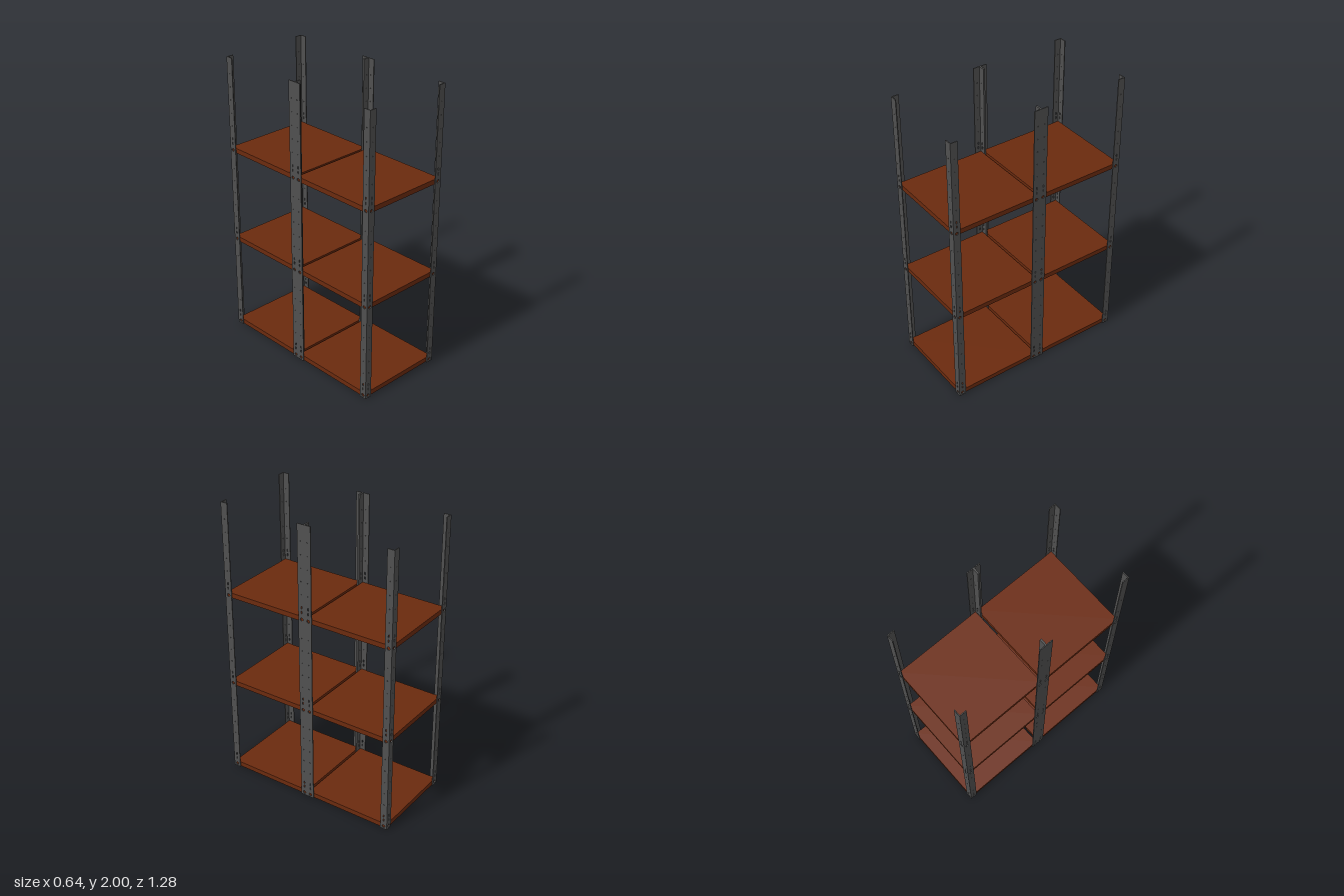
import * as THREE from 'three';

const HEIGHT = 2, FLANGE = 0.05, THICK = 0.006;
const HALF_W = 0.321, HALF_D = 0.642;
const SHELF_Y = [0.02, 0.688, 1.356];

const steel = new THREE.MeshStandardMaterial({ color: 0x505050 });
const board = new THREE.MeshStandardMaterial({ color: 0x6b2a0e });

function roundHole(y, r, sides) {
  const path = new THREE.Path();
  for (let i = 0; i <= sides; i++) {
    const a = -i / sides * Math.PI * 2;
    const x = r * Math.cos(a), v = y + r * Math.sin(a);
    i ? path.lineTo(x, v) : path.moveTo(x, v);
  }
  return path;
}

function slot(y, w, h) {
  return new THREE.Path([[-w, -h], [-w, h], [w, h], [w, -h], [-w, -h]]
    .map(([x, v]) => new THREE.Vector2(x / 2, y + v / 2)));
}

// One punched strip: upright, centred on x and z
function flangeGeometry(width) {
  const w = width / 2;
  const s = new THREE.Shape([[-w, 0], [w, 0], [w, HEIGHT], [-w, HEIGHT]].map(p => new THREE.Vector2(...p)));
  for (const y of SHELF_Y) {
    s.holes.push(roundHole(y, 0.011, 12));
    s.holes.push(slot(y + 0.05, 0.007, 0.018), slot(y + 0.083, 0.007, 0.018));
    for (let k = 1; k <= 5; k++) s.holes.push(roundHole(y + 0.083 + k * 0.09, 0.003, 6));
  }
  const g = new THREE.ExtrudeGeometry(s, { depth: THICK, bevelEnabled: false });
  return g.translate(0, 0, -THICK / 2);
}

export function createModel() {
  const model = new THREE.Group();
  const facing = flangeGeometry(FLANGE);
  const sideways = flangeGeometry(FLANGE).rotateY(Math.PI / 2);

  // Angle post: outer corner at (x, z), legs running toward -sx and along dz
  function post(name, sx, z, dz) {
    const g = new THREE.Group();
    g.name = name;
    const a = new THREE.Mesh(facing, steel);
    a.name = 'postCrossFlange';
    a.position.set(sx * (HALF_W - FLANGE / 2), 0, z + dz * THICK / 2);
    const b = new THREE.Mesh(sideways, steel);
    b.name = 'postSideFlange';
    b.position.set(sx * (HALF_W - THICK / 2), 0, z + dz * FLANGE / 2);
    g.add(a, b);
    model.add(g);
  }

  // Corner posts, and back-to-back pairs in the middle
  for (const sx of [1, -1]) {
    const side = sx > 0 ? 'left' : 'right';
    post(side + 'FrontPost', sx, HALF_D, -1);
    post(side + 'MiddleFrontPost', sx, 0, 1);
    post(side + 'MiddleBackPost', sx, 0, -1);
    post(side + 'BackPost', sx, -HALF_D, 1);
  }

  // Two bays of shelves
  const shelfGeo = new THREE.BoxGeometry(0.627, 0.034, 0.626);
  for (const y of SHELF_Y) {
    for (const [name, z] of [['frontShelf', 0.32], ['backShelf', -0.323]]) {
      const m = new THREE.Mesh(shelfGeo, board);
      m.name = name;
      m.position.set(0, y, z);
      model.add(m);
    }
  }
  return model;
}
